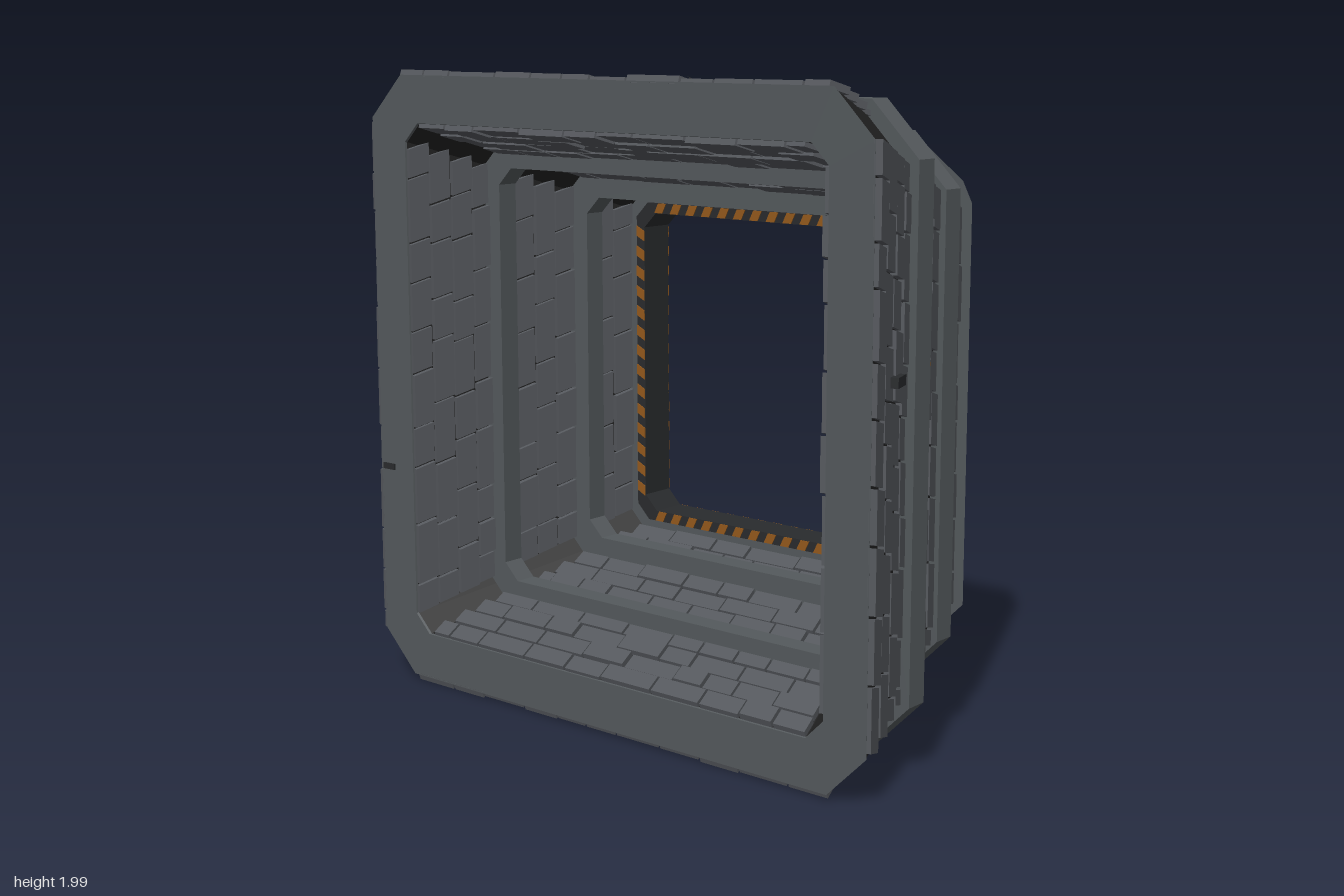
import * as THREE from 'three';
import { mergeGeometries } from 'three/addons/utils/BufferGeometryUtils.js';

const SLOPE = 0.32, TILT = -Math.atan(SLOPE);
const FRONT = 0.45, BACK = -0.33;
const outerAt = (z) => 0.975 - SLOPE * (FRONT - z);
const innerAt = (z) => 0.83 - SLOPE * (FRONT - z);

const mat = (name, color) => {
  const m = new THREE.MeshStandardMaterial({ color });
  m.name = name;
  return m;
};

// chamfered square, counter-clockwise seen from the front
function octagon(h, c, z) {
  const a = h - c;
  return [[h, -a], [h, a], [a, h], [-a, h], [-h, a], [-h, -a], [-a, -h], [a, -h]]
    .map(([x, y]) => [x, y, z]);
}

// closed ring from [half size, chamfer, z]: outer back, outer front, inner front, inner back
function ring(profile) {
  const loops = profile.map((p) => octagon(...p));
  const pos = [];
  loops.forEach((lo, k) => {
    const hi = loops[(k + 1) % loops.length];
    for (let i = 0; i < 8; i++) {
      const j = (i + 1) % 8;
      pos.push(...lo[i], ...lo[j], ...hi[j], ...lo[i], ...hi[j], ...hi[i]);
    }
  });
  const g = new THREE.BufferGeometry();
  g.setAttribute('position', new THREE.Float32BufferAttribute(pos, 3));
  g.computeVertexNormals();
  return g;
}

export function createModel() {
  const model = new THREE.Group();
  model.name = 'tunnelSegment';
  const body = new THREE.Group();
  body.name = 'tunnel';
  body.position.y = 1;
  model.add(body);

  const frameGrey = mat('frame grey', 0x54595c);
  const panelGrey = mat('panel grey', 0x56595e);
  const shellDark = mat('shell black', 0x222222);
  const trimDark = mat('trim dark', 0x292b2d);
  const orange = mat('hazard orange', 0x94591c);

  let seed = 17;
  const rand = () => {
    seed = (seed * 16807) % 2147483647;
    return seed / 2147483647;
  };
  const add = (name, geo, material, parent = body) => {
    const m = new THREE.Mesh(geo, material);
    m.name = name;
    parent.add(m);
    return m;
  };

  // tapered shell and its front rim
  add('shell', ring([
    [outerAt(BACK), 0.12, BACK], [outerAt(0.445), 0.135, 0.445],
    [innerAt(0.445), 0.06, 0.445], [innerAt(BACK), 0.06, BACK]]), shellDark);
  add('frontRim', ring([
    [0.973, 0.135, 0.443], [0.977, 0.135, FRONT], [0.828, 0.06, FRONT], [0.826, 0.06, 0.443]]), frameGrey);

  // reinforcing ribs
  for (const [name, z, o, i] of [['frontRib', 0.148, 0.935, 0.68], ['rearRib', -0.148, 0.83, 0.573]]) {
    add(name, ring([
      [o, 0.16, z - 0.037], [o, 0.16, z + 0.037], [i, 0.055, z + 0.037], [i, 0.055, z - 0.037]]), frameGrey);
  }

  // rear collar and dark lining of the opening
  add('rearCollar', ring([
    [0.67, 0.004, -0.447], [0.778, 0.165, BACK], [0.515, 0.05, BACK], [0.515, 0.05, -0.447]]), frameGrey);
  add('openingLining', ring([
    [0.517, 0.05, -0.4485], [0.545, 0.05, -0.326], [0.51, 0.05, -0.326], [0.51, 0.05, -0.4485]]), trimDark);

  // rows of staggered plates covering one wall, inside or outside
  const ROWS = 11, STEP = (FRONT - BACK) / ROWS;
  function wallTiles(radius, corner, dir) {
    const parts = [];
    for (let r = 0; r < ROWS; r++) {
      const z = BACK + (r + 0.5) * STEP;
      const end = radius(z) - corner;
      let u = -end;
      while (u < end - 0.02) {
        let len = 0.11 + rand() * 0.1;
        if (u === -end) len *= 0.5 + rand() * 0.5;
        if (u + len > end - 0.05) len = end - u;
        const t = 0.014 + rand() * 0.01;
        const g = new THREE.BoxGeometry(len - 0.008, t, STEP / Math.cos(TILT) - 0.007);
        const p = g.attributes.position;
        for (let i = 0; i < p.count; i++) p.setX(i, p.getX(i) - 0.28 * p.getZ(i));
        g.computeVertexNormals();
        g.rotateX(TILT);
        g.translate(u + len / 2, radius(z) + dir * (t / 2 - 0.002), z);
        parts.push(g);
        u += len;
      }
    }
    return mergeGeometries(parts);
  }

  // hazard stripes along one edge of the opening
  function stripes(height, r, z) {
    const parts = [];
    for (let i = 0; i < 14; i++) {
      const g = new THREE.BoxGeometry(0.034, height, 0.004);
      const p = g.attributes.position;
      for (let k = 0; k < p.count; k++) p.setX(k, p.getX(k) + 0.5 * p.getY(k));
      g.computeVertexNormals();
      g.translate((i - 6.5) * 0.0675, r, z);
      parts.push(g);
    }
    return mergeGeometries(parts);
  }

  // four walls: top, left (+x), bottom, right (-x)
  const walls = ['top', 'left', 'bottom', 'right'].map((side, k) => {
    const wall = new THREE.Group();
    wall.name = side + 'Wall';
    wall.rotation.z = -k * Math.PI / 2;
    body.add(wall);
    add('outerPanels', wallTiles(outerAt, 0.125, 1), panelGrey, wall);
    add('innerPanels', wallTiles(innerAt, 0.06, -1), panelGrey, wall);
    add('frontHazardStripes', stripes(0.033, 0.5275, -0.325), orange, wall);
    add('rearHazardStripes', stripes(0.008, 0.514, -0.4485), orange, wall);
    // thin plates on the sloping collar
    const plates = [-0.45, -0.08, 0.36].map((u) => {
      const g = new THREE.BoxGeometry(0.26, 0.008, 0.06);
      g.rotateX(-Math.atan(0.108 / 0.117));
      return g.translate(u, 0.694, -0.424);
    });
    add('collarPlates', mergeGeometries(plates), frameGrey, wall);
    return wall;
  });

  // two conduits over the roof
  for (const x of [-0.275, 0.275]) {
    const at = (z) => new THREE.Vector3(x, outerAt(z) + 0.028, z);
    const path = new THREE.LineCurve3(at(0.38), at(BACK));
    add('roofConduit', new THREE.TubeGeometry(path, 1, 0.011, 8), trimDark, walls[0]);
  }

  // small boxes and lamps: wall, material, size, position
  const fittings = [
    ['wallBox', 1, trimDark, [0.03, 0.05, 0.07], -0.185, outerAt(0.3) + 0.015, 0.3, TILT],
    ['wallLamp', 1, orange, [0.028, 0.05, 0.06], -0.185, outerAt(0.08) + 0.02, 0.08, TILT],
    ['roofBox', 0, trimDark, [0.075, 0.05, 0.08], -0.11, outerAt(-0.05) + 0.012, -0.05, TILT],
    ['ribBox', 0, trimDark, [0.045, 0.012, 0.02], -0.565, 0.937, 0.15, 0],
    ['ribLamp', 0, orange, [0.04, 0.012, 0.028], 0.355, 0.937, 0.15, 0],
    ['rimBox', 3, trimDark, [0.02, 0.052, 0.008], -0.29, 0.94, 0.451, 0],
  ];
  for (const [name, k, material, size, u, r, z, tilt] of fittings) {
    const m = add(name, new THREE.BoxGeometry(...size), material, walls[k]);
    m.position.set(u, r, z);
    m.rotation.x = tilt;
  }
  return model;
}
